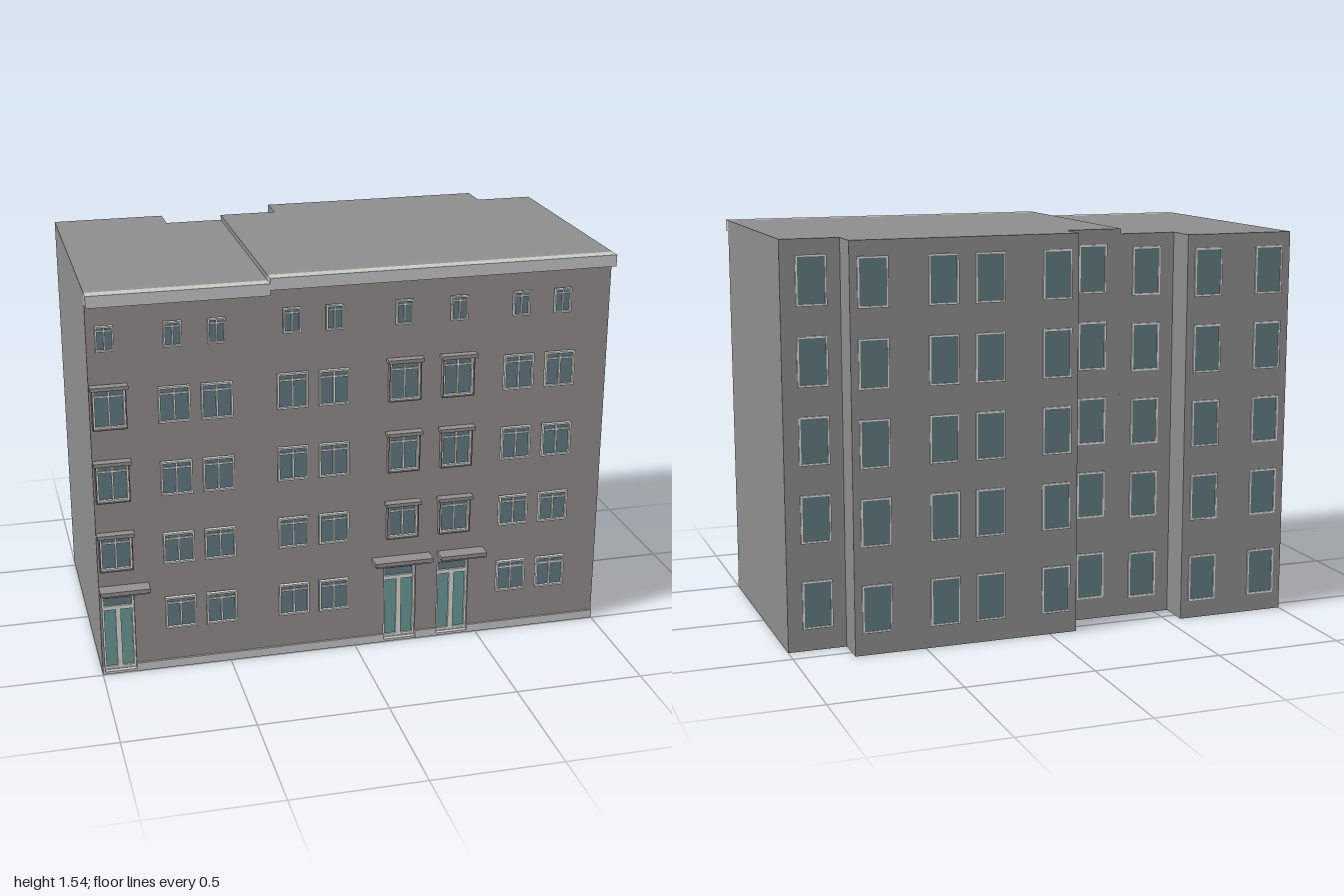
import * as THREE from 'three';

const mat = (name, color, extra = {}) => Object.assign(new THREE.MeshStandardMaterial({ color, ...extra }), { name });

export function createModel() {
  const model = new THREE.Group();
  model.name = 'apartmentBuilding';
  const wall = mat('facade grey', 0x928e8d);
  const shell = mat('shell grey', 0x8e8d8d);
  const trim = mat('light stone', 0xc8c8c7);
  const white = mat('frame white', 0xdcdcd8);
  const glass = mat('window glass', 0x627a82);
  const doorGlass = mat('door glass', 0x6b9b99);

  const FRONT = 0.49, RECESS = 0.465, SPLIT = -0.335;
  const doors = [[-0.99, -0.868], [0.118, 0.248], [0.337, 0.465]];
  const DOOR_TOP = 0.32;

  function box(parent, name, m, x0, x1, y0, y1, z0, z1) {
    const mesh = new THREE.Mesh(new THREE.BoxGeometry(x1 - x0, y1 - y0, z1 - z0), m);
    mesh.position.set((x0 + x1) / 2, (y0 + y1) / 2, (z0 + z1) / 2);
    mesh.name = name;
    parent.add(mesh);
    return mesh;
  }
  const shapeOf = pts => new THREE.Shape(pts.map(p => new THREE.Vector2(p[0], p[1])));
  const extrude = (shape, depth) => new THREE.ExtrudeGeometry(shape, { depth, bevelEnabled: false });
  function group(name) {
    const g = new THREE.Group();
    g.name = name;
    model.add(g);
    return g;
  }

  // Main blocks with a stepped rear plan; the left block is slightly lower
  function block(name, height, plan) {
    const geo = extrude(shapeOf(plan.map(([x, z]) => [x, -z])), height);
    geo.rotateX(-Math.PI / 2);
    const mesh = new THREE.Mesh(geo, shell);
    mesh.name = name;
    model.add(mesh);
  }
  block('lowerBlock', 1.525, [[-1, RECESS], [SPLIT, RECESS], [SPLIT, -0.425], [-0.56, -0.425], [-0.56, -0.55], [-1, -0.55]]);
  block('tallerBlock', 1.545, [[SPLIT, RECESS], [1, RECESS], [1, -0.425], [0.775, -0.425], [0.775, -0.55],
    [-0.11, -0.55], [-0.11, -0.425], [SPLIT, -0.425]]);

  // Front wall layer, notched around the doorways
  const outline = [[-1, 0]];
  for (const [a, b] of doors) outline.push([a, 0], [a, DOOR_TOP], [b, DOOR_TOP], [b, 0]);
  outline.push([1, 0], [1, 1.545], [SPLIT, 1.545], [SPLIT, 1.525], [-1, 1.525]);
  const facade = new THREE.Mesh(extrude(shapeOf(outline), FRONT - RECESS), wall);
  facade.position.z = RECESS;
  facade.name = 'frontWall';
  model.add(facade);

  // Cornice and plinth
  box(model, 'corniceLeft', trim, -1, SPLIT, 1.48, 1.525, FRONT, 0.537);
  box(model, 'corniceRight', trim, SPLIT, 1, 1.5, 1.545, FRONT, 0.537);
  const plinth = group('plinth');
  [[-1, -0.99], [-0.868, 0.118], [0.248, 0.337], [0.465, 1]].forEach(([a, b]) =>
    box(plinth, 'plinthStrip', trim, a, b, 0, 0.033, FRONT, 0.498));

  // Rectangular ring frame
  function frame(parent, m, x0, x1, y0, y1, w, z0, z1) {
    const s = shapeOf([[x0, y0], [x1, y0], [x1, y1], [x0, y1]]);
    s.holes.push(new THREE.Path([[x0 + w, y0 + w], [x0 + w, y1 - w], [x1 - w, y1 - w], [x1 - w, y0 + w]]
      .map(p => new THREE.Vector2(p[0], p[1]))));
    const mesh = new THREE.Mesh(extrude(s, z1 - z0), m);
    mesh.position.z = z0;
    mesh.name = 'frame';
    parent.add(mesh);
  }

  // Front window: pane, frame, mullion, transom and optional lintel
  function frontWindow(x0, x1, y0, y1, lintel, small) {
    const g = group('frontWindow');
    const w = small ? 0.006 : 0.007, z = FRONT;
    box(g, 'pane', glass, x0, x1, y0, y1, z, z + 0.004);
    frame(g, white, x0, x1, y0, y1, w, z, z + 0.015);
    const xm = (x0 + x1) / 2, yt = y1 - (y1 - y0) * 0.2;
    box(g, 'mullion', white, xm - w / 2, xm + w / 2, y0 + w, y1 - w, z, z + 0.01);
    box(g, 'transom', white, x0 + w, x1 - w, yt - w / 2, yt + w / 2, z, z + 0.009);
    if (lintel) {
      frame(g, wall, x0 - 0.004, x1 + 0.004, y0 - 0.004, y1 + 0.004, 0.004, z, z + 0.022);
      box(g, 'lintel', wall, x0 - 0.011, x1 + 0.011, y1, y1 + 0.014, z, z + 0.035);
    }
  }
  const rows = [[0.17, 0.3], [0.458, 0.582], [0.738, 0.872], [1.027, 1.166]];
  const columns = [[-0.988, 1], [-0.749, 0], [-0.59, 0], [-0.305, 0], [-0.146, 0], [0.128, 1], [0.338, 1], [0.582, 0], [0.748, 0]];
  for (const [x, lintel] of columns) {
    const drop = x < SPLIT ? 0.014 : 0;
    rows.forEach(([y0, y1], i) => {
      if (i === 0 && lintel) return;
      const d = i === 0 ? 0 : drop;
      frontWindow(x, x + 0.118, y0 - d - (lintel ? 0.003 : 0), y1 - d + (lintel ? 0.01 : 0), lintel, false);
    });
  }
  // Small attic windows
  for (const x of [-0.968, -0.722, -0.56, -0.28, -0.118, 0.15, 0.364, 0.609, 0.774]) {
    const d = x < SPLIT ? 0.018 : 0;
    frontWindow(x, x + 0.066, 1.322 - d, 1.417 - d, 0, true);
  }

  // Recessed double doors with fanlight
  for (const [a, b] of doors) {
    const g = group('door');
    const z = RECESS, xm = (a + b) / 2;
    box(g, 'doorGlass', doorGlass, a, b, 0.01, 0.262, z, z + 0.004);
    box(g, 'fanlight', glass, a, b, 0.262, DOOR_TOP, z, z + 0.004);
    frame(g, white, a, b, 0.004, DOOR_TOP, 0.008, z, z + 0.014);
    box(g, 'doorStile', white, xm - 0.01, xm + 0.01, 0.012, 0.262, z, z + 0.012);
    box(g, 'doorHead', white, a + 0.008, b - 0.008, 0.262, 0.278, z, z + 0.012);
    box(g, 'kickRail', white, a + 0.008, b - 0.008, 0.012, 0.022, z, z + 0.011);
    box(g, 'threshold', trim, a, b, 0, 0.01, z, FRONT + 0.006);
  }
  // Door canopies
  for (const [a, b] of [[-1, -0.81], [0.068, 0.302], [0.335, 0.522]]) {
    const g = group('canopy');
    box(g, 'canopySlab', wall, a, b, 0.354, 0.37, FRONT, 0.55);
    box(g, 'canopyUnderside', wall, a + 0.006, b - 0.006, 0.346, 0.354, FRONT, 0.542);
  }

  // Rear windows on the projecting and set-back walls
  const rearRows = [[0.085, 0.27], [0.415, 0.598], [0.71, 0.893], [1.003, 1.19], [1.3, 1.487]];
  const rearColumns = [[0.826, -0.425], [0.63, -0.55], [0.363, -0.55], [0.183, -0.55], [-0.083, -0.55],
    [-0.277, -0.425], [-0.502, -0.425], [-0.707, -0.55], [-0.967, -0.55]];
  for (const [x, z] of rearColumns) {
    const d = x < SPLIT ? 0.014 : 0;
    for (const [y0, y1] of rearRows) {
      const g = group('rearWindow');
      box(g, 'pane', glass, x + 0.004, x + 0.112, y0 + 0.004 - d, y1 - 0.004 - d, z - 0.002, z);
      frame(g, white, x, x + 0.116, y0 - d, y1 - d, 0.007, z - 0.005, z);
    }
  }
  return model;
}
